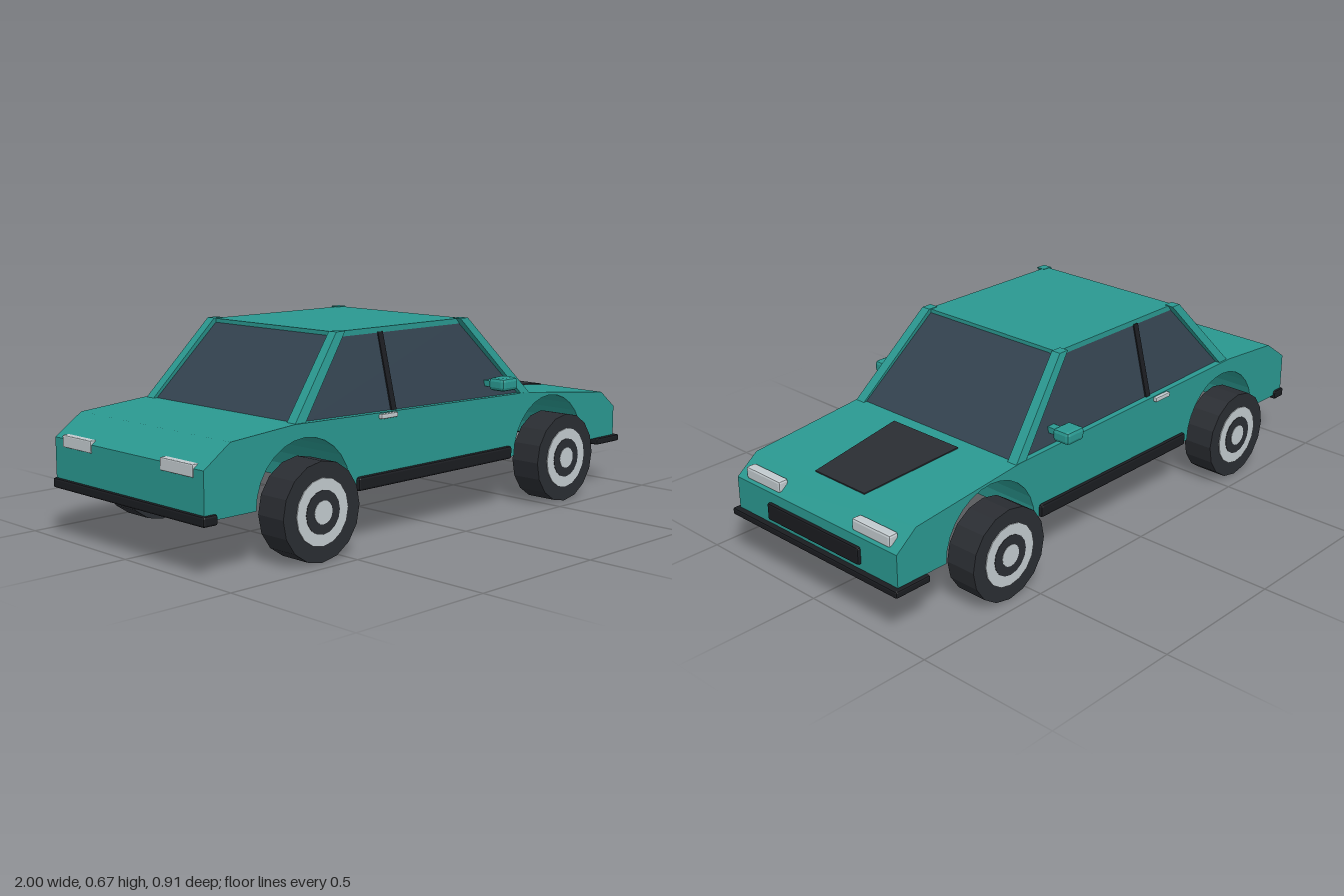
import * as THREE from 'three';
import { RoundedBoxGeometry } from 'three/addons/geometries/RoundedBoxGeometry.js';

const paint = (color) => new THREE.MeshStandardMaterial({ color, flatShading: true });

export function createModel() {
  const car = new THREE.Group();
  car.name = 'car';
  const teal = paint(0x2a9890);
  const glass = paint(0x33424f);
  const black = paint(0x2a2d32);
  const trim = paint(0x1a1c20);
  const silver = paint(0xc2cace);

  const add = (name, geometry, material, parent = car) => {
    const mesh = new THREE.Mesh(geometry, material);
    mesh.name = name;
    parent.add(mesh);
    return mesh;
  };

  // Six-sided block whose corners are placed by a rule of the corner signs
  const block = (name, material, rule) => {
    const geometry = new THREE.BoxGeometry(2, 2, 2);
    const p = geometry.attributes.position;
    for (let i = 0; i < p.count; i++) p.setXYZ(i, ...rule(p.getX(i), p.getY(i), p.getZ(i)));
    geometry.computeVertexNormals();
    return add(name, geometry, material);
  };

  // Chamfered box given by its limits
  const chamfered = (name, material, [x0, x1], [y0, y1], [z0, z1], r) => {
    const geometry = new RoundedBoxGeometry(x1 - x0, y1 - y0, z1 - z0, 1, r);
    add(name, geometry, material).position.set((x0 + x1) / 2, (y0 + y1) / 2, (z0 + z1) / 2);
  };
  const side = (s, a, b) => (s > 0 ? [a, b] : [-b, -a]);

  // Lower body: side profile with wheel arches, extruded across the car
  const axles = [-0.6, 0.588];
  const profile = new THREE.Shape();
  profile.moveTo(-0.99, 0.18);
  for (const x of axles) {
    profile.lineTo(x - 0.195, 0.18);
    profile.absarc(x, 0.18, 0.195, Math.PI, 0, true);
  }
  for (const [x, y] of [[0.98, 0.18], [0.98, 0.29], [0.9, 0.352], [0.46, 0.398], [-0.64, 0.42], [-0.89, 0.4], [-0.99, 0.33]]) {
    profile.lineTo(x, y);
  }
  profile.closePath();
  const body = new THREE.ExtrudeGeometry(profile, { depth: 0.75, bevelEnabled: false, curveSegments: 7 });
  body.translate(0, 0, -0.375);
  add('body', body, teal);

  // Cabin glass and roof
  block('cabinGlass', glass, (x, y, z) => y > 0
    ? [x > 0 ? 0.195 : -0.395, 0.665, z * 0.29]
    : [x > 0 ? 0.465 : -0.64, 0.395, z * 0.357]);
  add('roof', new THREE.BoxGeometry(0.6, 0.02, 0.58), teal).position.set(-0.1, 0.663, 0);

  for (const s of [1, -1]) {
    // Corner pillars
    for (const [name, xb, xt] of [['windscreenPillar', 0.453, 0.19], ['rearPillar', -0.632, -0.39]]) {
      block(name, teal, (x, y, z) => y > 0
        ? [xt + x * 0.019, 0.675, s * 0.298 + z * 0.017]
        : [xb + x * 0.022, 0.395, s * 0.355 + z * 0.019]);
    }
    // Roof rails and door dividers
    add('roofRail', new THREE.BoxGeometry(0.59, 0.018, 0.018), teal).position.set(-0.1, 0.664, s * 0.285);
    block('doorDivider', trim, (x, y, z) => y > 0
      ? [-0.195 + x * 0.011, 0.658, s * 0.29 + z * 0.006]
      : [-0.195 + x * 0.011, 0.4, s * 0.356 + z * 0.006]);
    // Side fittings
    chamfered('sill', trim, [-0.38, 0.37], [0.175, 0.22], side(s, 0.35, 0.387), 0.008);
    chamfered('doorHandle', silver, [-0.28, -0.205], [0.393, 0.409], side(s, 0.37, 0.388), 0.004);
    chamfered('mirror', teal, [0.24, 0.32], [0.43, 0.474], side(s, 0.383, 0.45), 0.012);
    add('mirrorArm', new THREE.BoxGeometry(0.03, 0.02, 0.06), teal).position.set(0.28, 0.448, s * 0.36);
    // Lamps
    chamfered('headlight', silver, [0.935, 0.972], [0.293, 0.336], side(s, 0.17, 0.338), 0.008);
    chamfered('tailLight', silver, [-0.994, -0.965], [0.303, 0.343], side(s, 0.175, 0.33), 0.004);
  }

  // Grille and bumpers
  chamfered('grille', trim, [0.95, 0.992], [0.198, 0.256], [-0.215, 0.215], 0.006);
  chamfered('frontBumper', trim, [0.862, 1], [0.157, 0.181], [-0.39, 0.39], 0.006);
  chamfered('rearBumper', trim, [-1, -0.945], [0.165, 0.198], [-0.383, 0.383], 0.007);

  // Tapered bonnet panel lying just above the bonnet
  block('bonnetPanel', black, (x, y, z) => {
    const px = x > 0 ? 0.87 : 0.505;
    return [px, 0.398 - (px - 0.46) * 0.1045 + y * 0.004, z * (x > 0 ? 0.115 : 0.15)];
  });

  // Wheels: tyre with stacked discs showing as rings on both faces
  const discs = [
    ['tyre', 0.157, 0.112, black],
    ['rim', 0.106, 0.118, silver],
    ['rimRecess', 0.069, 0.121, black],
    ['hub', 0.037, 0.124, silver],
  ];
  for (const x of axles) {
    for (const s of [1, -1]) {
      const wheel = new THREE.Group();
      wheel.name = x > 0 ? 'frontWheel' : 'rearWheel';
      wheel.position.set(x, 0.158, s * 0.395);
      for (const [name, r, width, material] of discs) {
        const disc = new THREE.CylinderGeometry(r, r, width, 16);
        add(name, disc.rotateX(Math.PI / 2), material, wheel);
      }
      car.add(wheel);
    }
  }
  return car;
}
